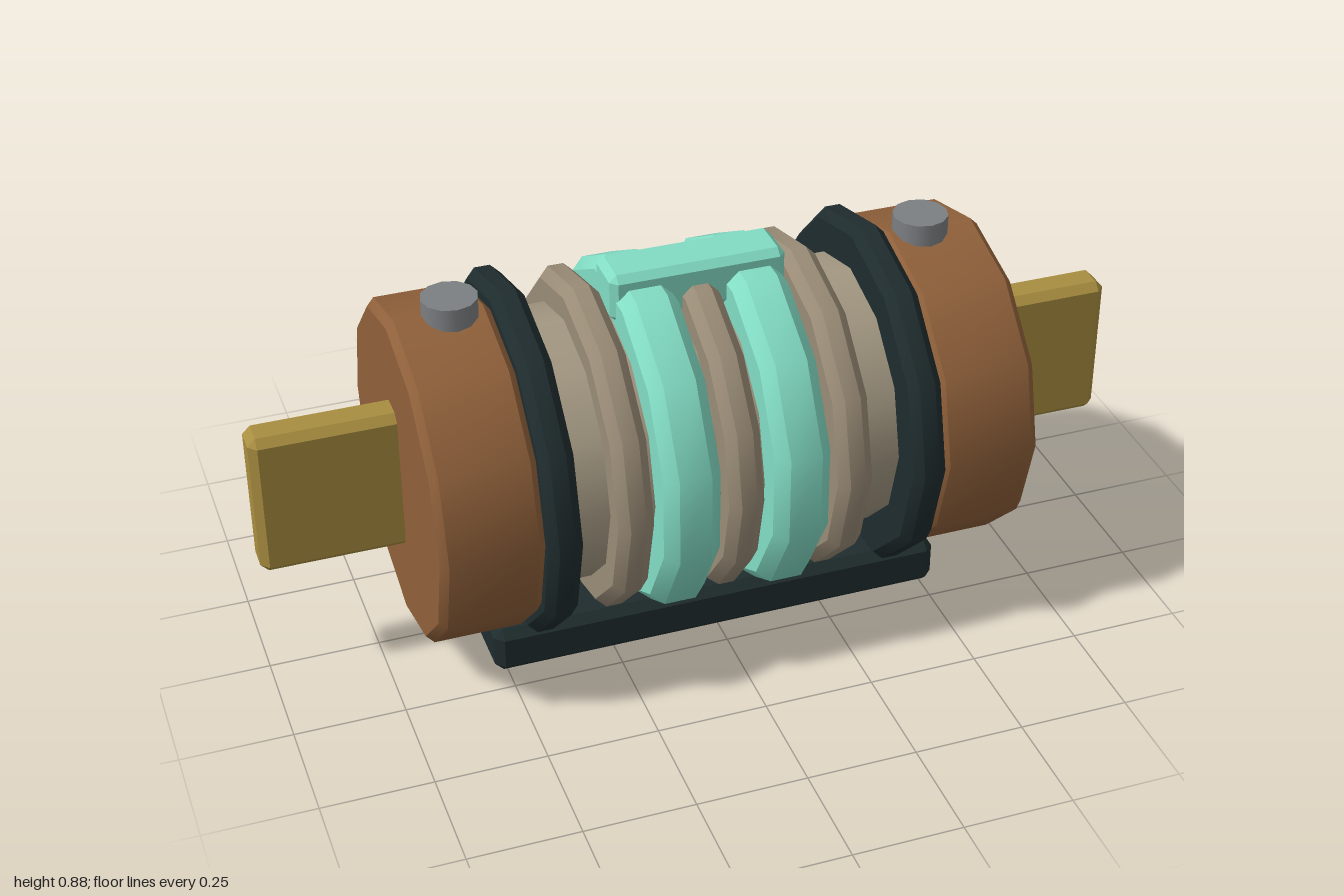
import * as THREE from 'three';
import { toCreasedNormals } from 'three/addons/utils/BufferGeometryUtils.js';
import { ConvexGeometry } from 'three/addons/geometries/ConvexGeometry.js';

const AXIS_Y = 0.455;

function material(name, color) {
  const m = new THREE.MeshStandardMaterial({ color });
  m.name = name;
  return m;
}

// Solid disc with bevelled rims, lying along the x axis
function disc(radius, width, bevel, sides, turn = 0) {
  const h = width / 2;
  const profile = [
    [0, -h], [radius - bevel, -h], [radius, -h + bevel],
    [radius, h - bevel], [radius - bevel, h], [0, h],
  ].map(([r, y]) => new THREE.Vector2(r, y));
  const g = new THREE.LatheGeometry(profile, sides, turn, Math.PI * 2);
  g.rotateZ(-Math.PI / 2);
  return toCreasedNormals(g, 0.7);
}

// Box with all edges chamfered
function chamferBox(w, h, d, c) {
  const points = [];
  for (const x of [-w / 2, w / 2])
    for (const y of [-h / 2, h / 2])
      for (const z of [-d / 2, d / 2]) {
        const a = x - Math.sign(x) * c, b = y - Math.sign(y) * c, e = z - Math.sign(z) * c;
        points.push(new THREE.Vector3(x, b, e), new THREE.Vector3(a, y, e), new THREE.Vector3(a, b, z));
      }
  return new ConvexGeometry(points);
}

export function createModel() {
  const group = new THREE.Group();
  const copper = material('copper brown', 0x8f603a);
  const brass = material('brass', 0xa88d40);
  const teal = material('teal', 0x82dcc4);
  const dark = material('dark slate', 0x1f2c2e);
  const stone = material('warm grey', 0xa39882);
  const fin = material('fin grey', 0x998b76);
  const steel = material('steel', 0x7c7f82);

  const add = (name, geometry, mat, x, y, z = 0) => {
    const mesh = new THREE.Mesh(geometry, mat);
    mesh.name = name;
    mesh.position.set(x, y, z);
    group.add(mesh);
  };

  // Central body
  add('core', disc(0.31, 0.94, 0.01, 12), stone, 0, AXIS_Y);
  add('middleFin', disc(0.385, 0.08, 0.022, 14), fin, 0, AXIS_Y);

  // Mirrored parts
  for (const [side, s] of [['left', 1], ['right', -1]]) {
    add(side + 'EndCap', disc(0.384, 0.23, 0.017, 12), copper, s * 0.565, AXIS_Y);
    add(side + 'Collar', disc(0.41, 0.076, 0.02, 12), dark, s * 0.414, AXIS_Y);
    add(side + 'Fin', disc(0.386, 0.08, 0.022, 12), fin, s * 0.25, AXIS_Y);
    add(side + 'Coil', disc(0.405, 0.128, 0.028, 12, Math.PI / 12), teal, s * 0.125, AXIS_Y);
    add(side + 'Blade', chamferBox(0.4, 0.345, 0.09, 0.018), brass, s * 0.8, AXIS_Y);
    add(side + 'Bolt', toCreasedNormals(new THREE.CylinderGeometry(0.0625, 0.0625, 0.835, 12), 0.7),
      steel, s * 0.54, 0.4575);
  }

  // Bridge over the coils and the foot plate
  add('coilBridge', chamferBox(0.4, 0.115, 0.12, 0.016), teal, 0, 0.8225);
  add('basePlate', chamferBox(1.056, 0.112, 0.41, 0.02), dark, 0, 0.056);

  return group;
}
